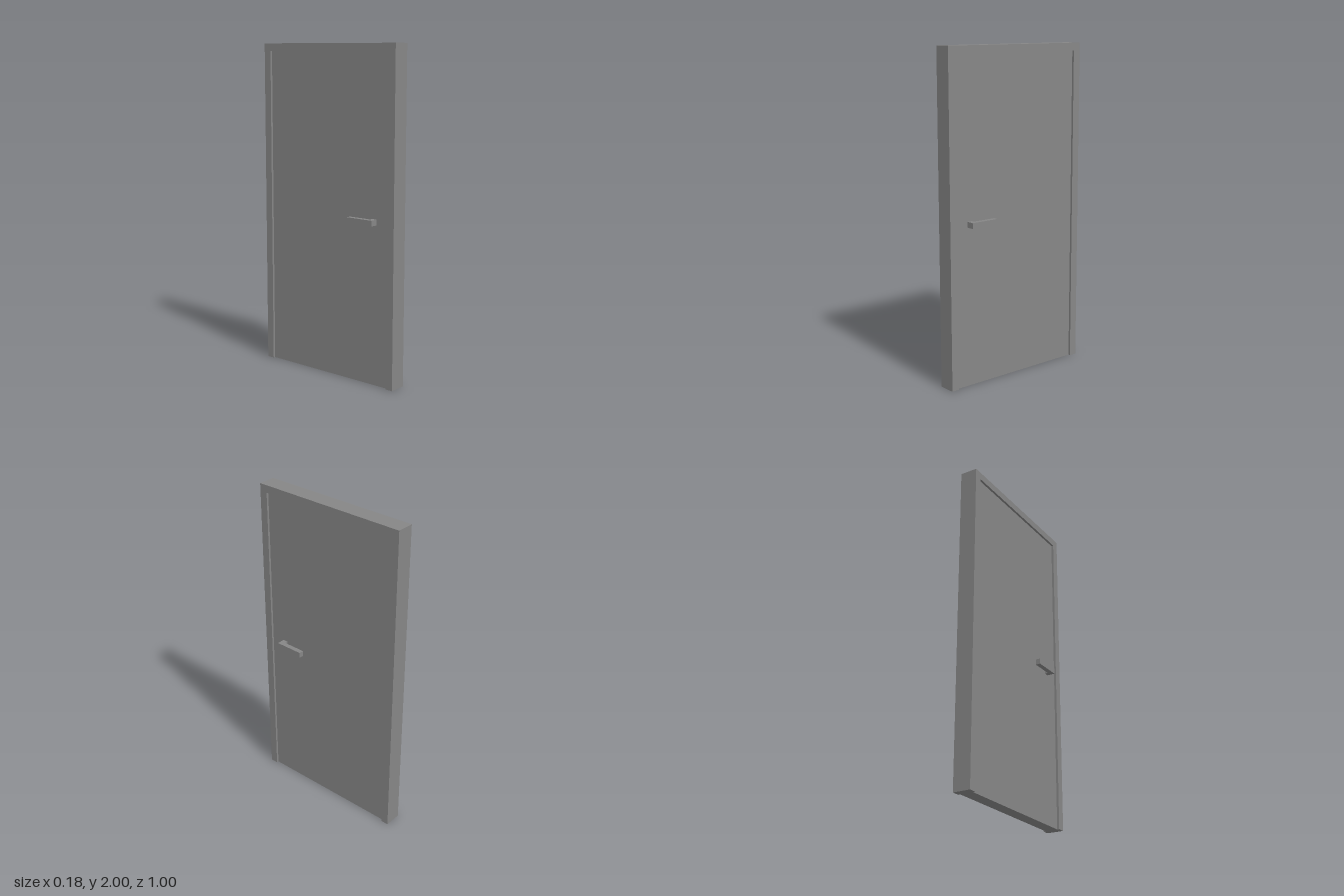
import * as THREE from 'three';

const material = new THREE.MeshStandardMaterial({ color: 0x868686, side: THREE.DoubleSide });

// Extrudes a (z, y) outline along x, centred on x = 0
function slab(name, points, thickness) {
  const shape = new THREE.Shape(points.map(([z, y]) => new THREE.Vector2(-z, y)));
  const geometry = new THREE.ExtrudeGeometry(shape, { depth: thickness, bevelEnabled: false });
  geometry.translate(0, 0, -thickness / 2).rotateY(Math.PI / 2);
  const mesh = new THREE.Mesh(geometry, material);
  mesh.name = name;
  return mesh;
}

// L-shaped handle: a short post out of the door and a lever towards -z
function handle(side) {
  const root = 0.04, inner = 0.0595, outer = 0.0895;
  const shape = new THREE.Shape([
    [root, 0.367], [outer, 0.367], [outer, 0.186],
    [inner, 0.186], [inner, 0.334], [root, 0.334],
  ].map(([x, z]) => new THREE.Vector2(side * x, -z)));
  const geometry = new THREE.ExtrudeGeometry(shape, { depth: 0.034, bevelEnabled: false });
  geometry.rotateX(-Math.PI / 2).translate(0, 0.965, 0);
  const mesh = new THREE.Mesh(geometry, material);
  mesh.name = side > 0 ? 'leftHandle' : 'rightHandle';
  return mesh;
}

export function createModel() {
  const model = new THREE.Group();
  model.name = 'door';
  const halfOpening = 0.4515, openingTop = 1.954;

  // Frame: two jambs and a header in one outline, open at the floor
  model.add(slab('frame', [
    [0.5, 0], [0.5, 2], [-0.5, 2], [-0.5, 0],
    [-halfOpening, 0], [-halfOpening, openingTop], [halfOpening, openingTop], [halfOpening, 0],
  ], 0.1075));

  // Door leaf, recessed on both faces
  model.add(slab('doorLeaf', [
    [halfOpening, 0], [halfOpening, openingTop], [-halfOpening, openingTop], [-halfOpening, 0],
  ], 0.08));

  for (const side of [1, -1]) model.add(handle(side));
  return model;
}
